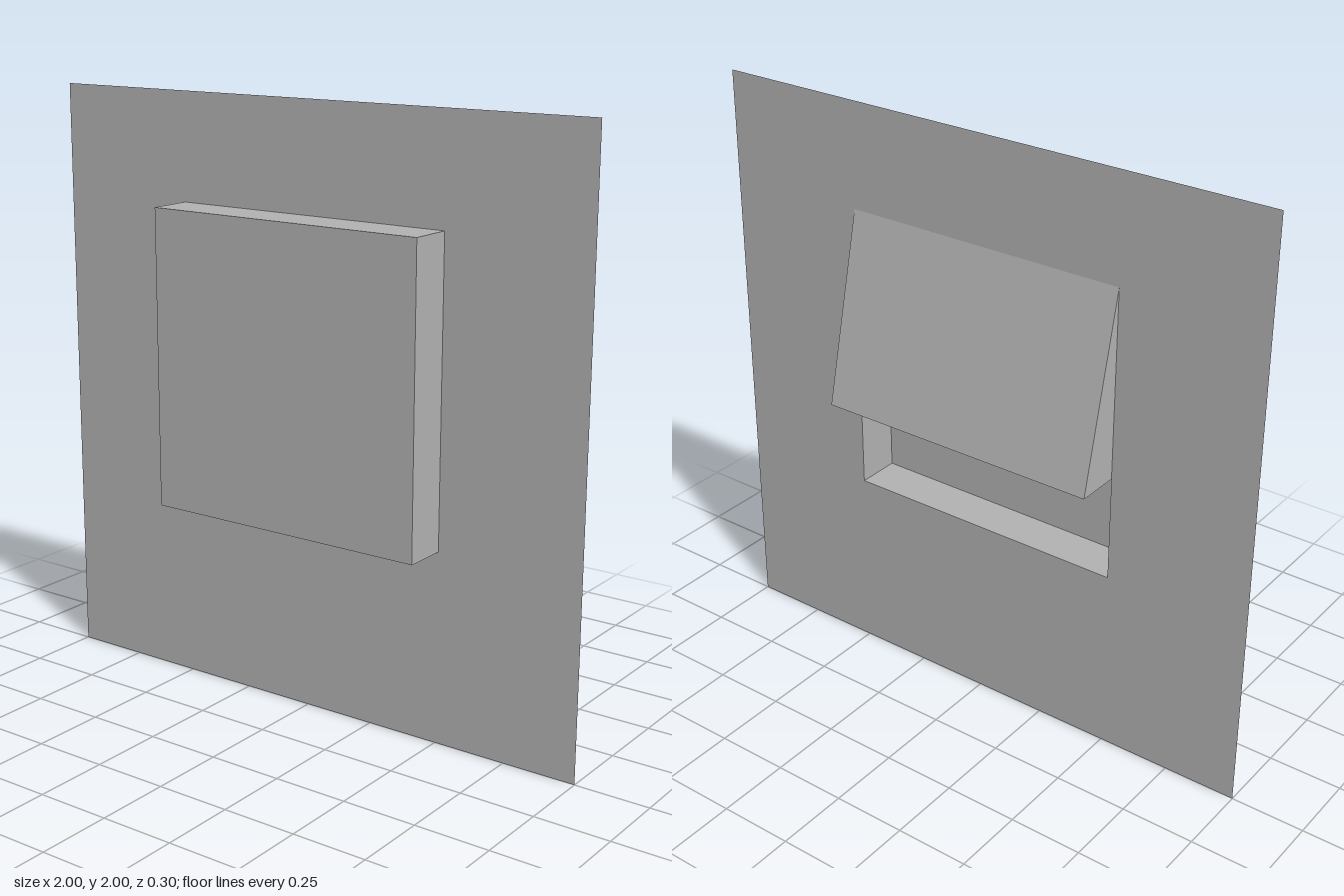
import * as THREE from 'three';

export function createModel() {
  const group = new THREE.Group();
  const grey = new THREE.MeshStandardMaterial({ color: 0xb2b2b2, side: THREE.DoubleSide });
  grey.name = 'plain grey';

  const half = 0.5, bottom = 0.64, sill = 1.0, top = 1.64, depth = 0.15;

  const add = (name, geometry, x = 0, y = 0, z = 0) => {
    const mesh = new THREE.Mesh(geometry, grey);
    mesh.name = name;
    mesh.position.set(x, y, z);
    group.add(mesh);
    return mesh;
  };
  const polygon = (points) => new THREE.Shape(points.map(([x, y]) => new THREE.Vector2(x, y)));

  // Thin square wall with a square opening
  const wall = polygon([[-1, 0], [1, 0], [1, 2], [-1, 2]]);
  wall.holes.push(polygon([[-half, bottom], [-half, top], [half, top], [half, bottom]]));
  add('wall', new THREE.ShapeGeometry(wall));

  // Upper block: flat at the front, sloping hood at the back
  const profile = polygon([[depth, sill], [depth, top], [0, top], [-depth, sill]]);
  const hood = new THREE.ExtrudeGeometry(profile, { depth: 2 * half, bevelEnabled: false });
  hood.rotateY(-Math.PI / 2);
  add('hood', hood, half);

  // Lower pocket, open at the back
  const height = sill - bottom, midY = (sill + bottom) / 2;
  add('pocketFront', new THREE.PlaneGeometry(2 * half, height), 0, midY, depth);
  add('pocketFloor', new THREE.PlaneGeometry(2 * half, depth).rotateX(Math.PI / 2), 0, bottom, depth / 2);
  for (const [name, side] of [['leftPocketSide', 1], ['rightPocketSide', -1]]) {
    add(name, new THREE.PlaneGeometry(depth, height).rotateY(side * Math.PI / 2), side * half, midY, depth / 2);
  }
  return group;
}
